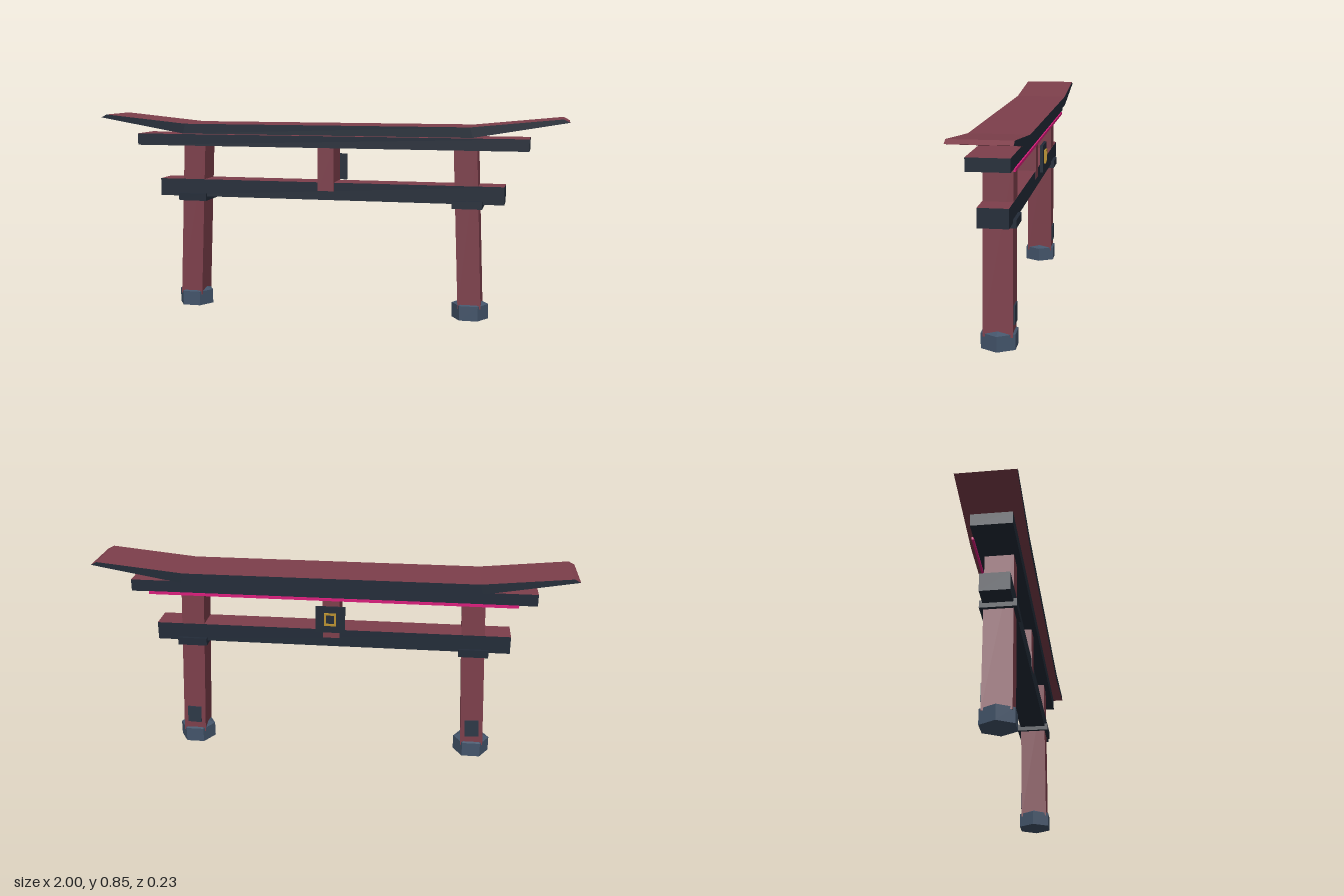
import * as THREE from 'three';

const paint = (color) => new THREE.MeshStandardMaterial({ color, flatShading: true });

export function createModel() {
  const red = paint(0x7d3f4b);
  const navy = paint(0x222b38);
  const slate = paint(0x43546a);
  const panelGrey = paint(0x2d3847);
  const gold = paint(0xb8902f);
  const pink = paint(0xd81b7a);
  const redTopped = [navy, navy, red, navy, navy, navy];

  const model = new THREE.Group();
  model.name = 'gate';

  const add = (parent, name, geometry, material, x = 0, y = 0, z = 0) => {
    const mesh = new THREE.Mesh(geometry, material);
    mesh.name = name;
    mesh.position.set(x, y, z);
    parent.add(mesh);
    return mesh;
  };
  // Box given by its size, bottom height and centre in x and z
  const box = (parent, name, w, h, d, material, x, bottom, z) =>
    add(parent, name, new THREE.BoxGeometry(w, h, d), material, x, bottom + h / 2, z);

  // Roof beam: flat middle, upswept tips, dark front and back faces
  const half = [[0.62, 0.77], [1, 0.835], [0.975, 0.848], [0.61, 0.812]];
  const mirrored = half.map(([x, y]) => [-x, y]).reverse();
  const roofShape = new THREE.Shape([...half, ...mirrored].map(([x, y]) => new THREE.Vector2(x, y)));
  const roofGeometry = new THREE.ExtrudeGeometry(roofShape, { depth: 0.23, bevelEnabled: false });
  add(model, 'roofBeam', roofGeometry, [navy, red], 0, 0, -0.115);

  // Horizontal beams and the centre strut
  box(model, 'upperBeam', 1.69, 0.05, 0.16, redTopped, 0, 0.715, 0);
  box(model, 'lowerBeam', 1.5, 0.075, 0.117, redTopped, 0, 0.492, 0);
  box(model, 'centreStrut', 0.07, 0.185, 0.119, red, 0, 0.53, 0);
  box(model, 'lightStrip', 1.54, 0.011, 0.008, pink, 0, 0.705, -0.082);

  // Leaning posts with hexagonal feet, collars and rear panels
  const lean = 0.042;
  for (const side of [-1, 1]) {
    const leg = new THREE.Group();
    leg.name = side > 0 ? 'leftLeg' : 'rightLeg';
    model.add(leg);

    const shaft = new THREE.Group();
    shaft.name = 'shaft';
    shaft.position.set(side * 0.602, 0.384, 0);
    shaft.rotation.z = side * lean;
    leg.add(shaft);
    add(shaft, 'post', new THREE.BoxGeometry(0.096, 0.67, 0.115), red);
    add(shaft, 'rearPanel', new THREE.BoxGeometry(0.06, 0.075, 0.007), panelGrey, 0, -0.252, -0.0595);

    box(leg, 'collar', 0.125, 0.032, 0.144, navy, side * 0.599, 0.473, 0);

    const foot = add(leg, 'foot', new THREE.CylinderGeometry(0.077, 0.077, 0.062, 6), slate, side * 0.615, 0.031, 0);
    foot.rotation.y = Math.PI / 6;
    const cap = add(leg, 'footBevel', new THREE.CylinderGeometry(0.05, 0.077, 0.011, 6), slate, side * 0.615, 0.0675, 0);
    cap.rotation.y = Math.PI / 6;
  }

  // Rear plaque with a plain gold frame
  const plaque = new THREE.Group();
  plaque.name = 'plaque';
  model.add(plaque);
  box(plaque, 'plaqueBoard', 0.124, 0.113, 0.012, navy, 0, 0.567, -0.087);
  for (const side of [-1, 1]) {
    box(plaque, 'frameUpright', 0.008, 0.055, 0.008, gold, side * 0.021, 0.599, -0.097);
    box(plaque, 'frameBar', 0.034, 0.008, 0.007, gold, 0, 0.6225 + side * 0.0235, -0.0965);
  }

  return model;
}
